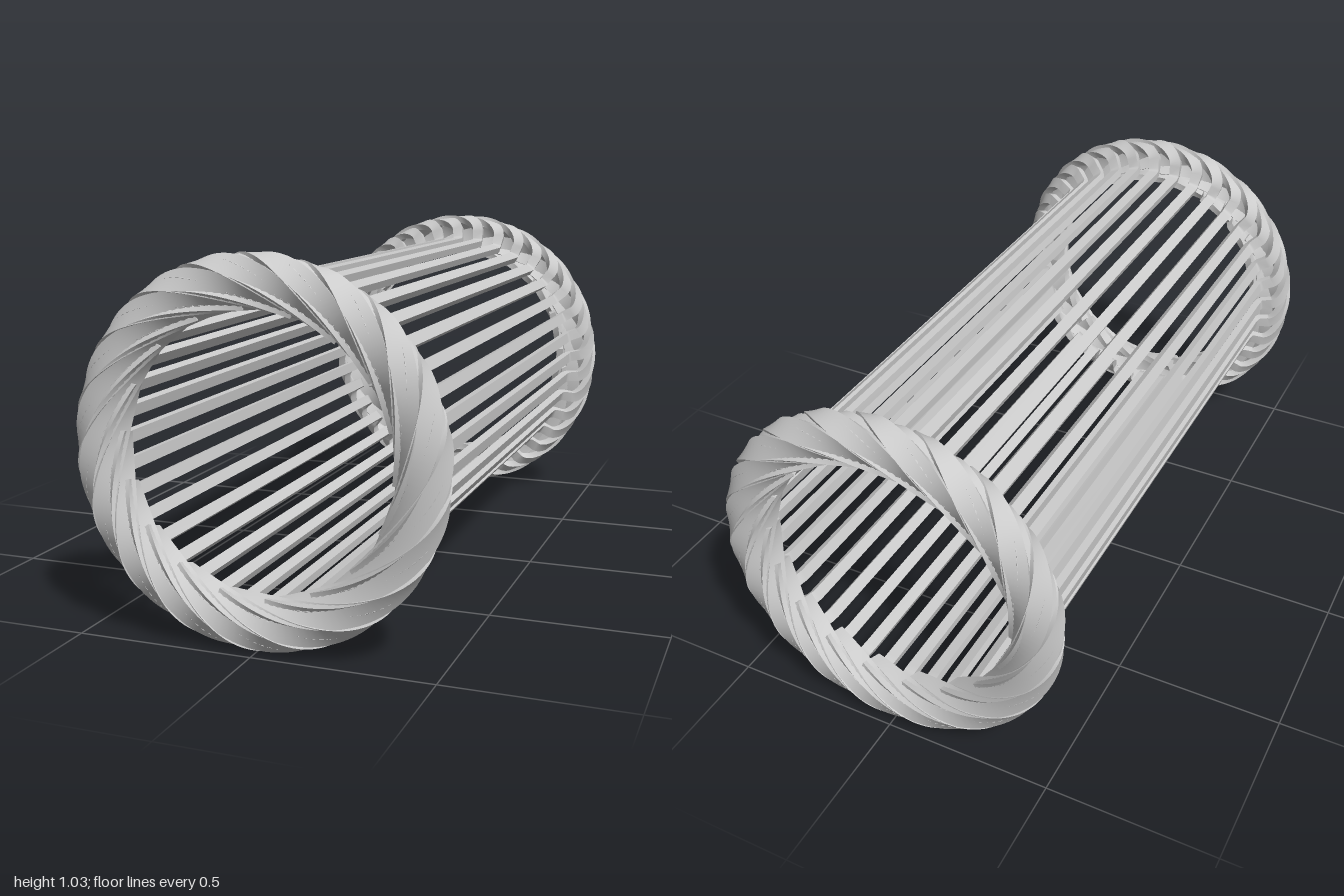
import * as THREE from 'three';

const COUNT = 36;          // number of strands
const BAR_R = 0.424;       // radius of the straight bars
const RIM = { r: 0.446, z: 0.935 };
const HALF_THICK = 0.0115;
const rad = THREE.MathUtils.degToRad;

// Two kinds of strand take turns: wide ones cover the rim, narrow ones run beneath
const OUTER = { a: 0.0575, b: 0.0475, end: 192, sweep: 84, width: 0.068 };
const INNER = { a: 0.052, b: 0.041, end: 155, sweep: 62, width: 0.046 };

// Half a strand, middle to tip: { r, z, sweep angle, normal angle, width }
function halfStrand({ a, b, end, sweep, width }) {
  const pts = [
    { r: BAR_R, z: 0.3, s: 0, n: 0, w: 0.034 },
    { r: BAR_R, z: 0.855, s: 0, n: 0, w: 0.034 },
    { r: BAR_R + 0.003, z: 0.872, s: 0.003, n: -0.25, w: 0.034 },
    { r: BAR_R + 0.012, z: 0.884, s: 0.01, n: -0.7, w: 0.034 },
  ];
  const steps = 40;
  for (let i = 0; i <= steps; i++) {
    const t = i / steps;
    const phi = rad(THREE.MathUtils.lerp(-70, end, t));
    pts.push({
      r: RIM.r + a * Math.cos(phi),
      z: RIM.z + b * Math.sin(phi),
      // steep on the outer flank, shallow along the inner edge
      s: 0.02 + rad(sweep) * Math.pow(t, 1.65),
      n: phi,
      w: THREE.MathUtils.lerp(0.036, width, THREE.MathUtils.smoothstep(t, 0.1, 0.55)),
    });
  }
  return pts;
}

// Sweep a flat rectangular section along the strand, with sharp long edges
function strandGeometry(kind) {
  const half = halfStrand(kind);
  const back = half.map((p) => ({ ...p, z: -p.z, s: -p.s, back: true })).reverse();
  const path = [...back, ...half].map((p) => {
    const c = Math.cos(-p.s), s = Math.sin(-p.s);
    const nz = Math.sin(p.n) * (p.back ? -1 : 1);
    return {
      pos: new THREE.Vector3(p.r * c, p.r * s, p.z),
      nor: new THREE.Vector3(Math.cos(p.n) * c, Math.cos(p.n) * s, nz),
      w: p.w,
    };
  });
  const verts = [], index = [];
  const last = path.length - 1;
  const rings = path.map((p, i) => {
    const t = path[Math.min(i + 1, last)].pos.clone().sub(path[Math.max(i - 1, 0)].pos).normalize();
    const n = p.nor.clone().addScaledVector(t, -p.nor.dot(t)).normalize();
    const b = new THREE.Vector3().crossVectors(t, n);
    const corner = (u, v) => p.pos.clone().addScaledVector(n, u * HALF_THICK).addScaledVector(b, v * p.w / 2);
    return [corner(1, -1), corner(1, 1), corner(-1, 1), corner(-1, -1)];
  });
  // four long sides
  for (let k = 0; k < 4; k++) {
    const base = verts.length / 3;
    rings.forEach((ring, i) => {
      verts.push(...ring[k].toArray(), ...ring[(k + 1) % 4].toArray());
      if (i < last) {
        const a = base + i * 2;
        index.push(a, a + 1, a + 3, a, a + 3, a + 2);
      }
    });
  }
  // end caps
  [rings[0].slice().reverse(), rings[last]].forEach((ring) => {
    const a = verts.length / 3;
    ring.forEach((v) => verts.push(...v.toArray()));
    index.push(a, a + 1, a + 2, a, a + 2, a + 3);
  });
  const geo = new THREE.BufferGeometry();
  geo.setAttribute('position', new THREE.Float32BufferAttribute(verts, 3));
  geo.setIndex(index);
  geo.computeVertexNormals();
  return geo;
}

export function createModel() {
  const model = new THREE.Group();
  model.name = 'wovenCylinder';
  const material = new THREE.MeshStandardMaterial({ color: 0xcccccc, side: THREE.DoubleSide });
  const geometries = [strandGeometry(OUTER), strandGeometry(INNER)];
  const basket = new THREE.Group();
  basket.name = 'strands';
  for (let i = 0; i < COUNT; i++) {
    const strand = new THREE.Mesh(geometries[i % 2], material);
    strand.name = (i % 2 ? 'innerStrand' : 'outerStrand') + (i + 1);
    strand.rotation.z = i * Math.PI * 2 / COUNT;
    basket.add(strand);
  }
  // stand on the ground
  basket.position.y = -new THREE.Box3().setFromObject(basket, true).min.y;
  model.add(basket);
  return model;
}
